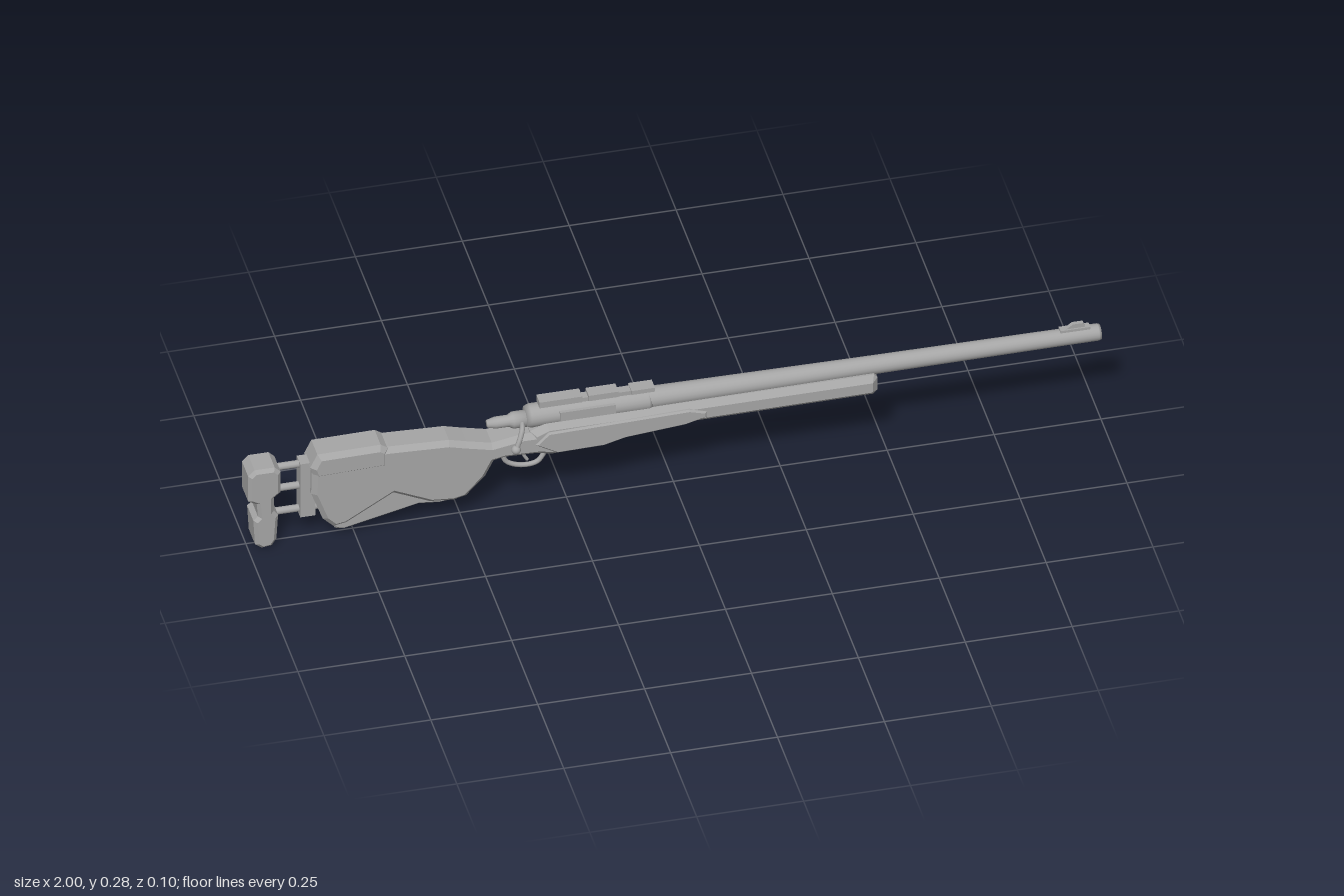
import * as THREE from 'three';

const ZC = -0.007; // centre plane of the rifle

export function createModel() {
  const model = new THREE.Group();
  model.name = 'rifle';
  const grey = new THREE.MeshStandardMaterial({ color: 0xa6a6a6 });
  grey.name = 'plain grey';

  const add = (name, geometry) => {
    const mesh = new THREE.Mesh(geometry, grey);
    mesh.name = name;
    model.add(mesh);
    return mesh;
  };
  // side outline in x and y, extruded across z with chamfered edges
  const slab = (name, points, width, bevel, z = ZC) => {
    const shape = new THREE.Shape(points.map(([x, y]) => new THREE.Vector2(x, y)));
    const g = new THREE.ExtrudeGeometry(shape, {
      depth: width - 2 * bevel, bevelEnabled: bevel > 0, bevelThickness: bevel,
      bevelSize: bevel, bevelOffset: -bevel, bevelSegments: 1,
    });
    g.translate(0, 0, z - width / 2 + bevel);
    return add(name, g);
  };
  const box = (name, x0, x1, y0, y1, depth, z = ZC) => {
    const m = add(name, new THREE.BoxGeometry(x1 - x0, y1 - y0, depth));
    m.position.set((x0 + x1) / 2, (y0 + y1) / 2, z);
    return m;
  };
  // turned part along x, from [x, radius] points
  const turned = (name, points, y, z = ZC, sides = 20) => {
    const g = new THREE.LatheGeometry(points.map(([x, r]) => new THREE.Vector2(r, x)), sides);
    g.rotateZ(-Math.PI / 2);
    g.translate(0, y, z);
    return add(name, g);
  };
  const tube = (name, points, radius) => add(name, new THREE.TubeGeometry(
    new THREE.CatmullRomCurve3(points.map(p => new THREE.Vector3(...p))), 24, radius, 8));

  // butt pad with its notched back, and the adjusting rods
  slab('buttPad', [[-0.985, 0.222], [-0.938, 0.222], [-0.924, 0.208], [-0.924, 0.15], [-0.94, 0.137],
    [-0.94, 0.1], [-0.93, 0.086], [-0.934, 0.02], [-0.945, 0.003], [-0.968, 0], [-0.984, 0.012],
    [-0.988, 0.08], [-0.977, 0.09], [-0.98, 0.125], [-1, 0.136], [-1, 0.207]], 0.076, 0.008);
  for (const y of [0.2, 0.14, 0.075])
    turned('buttRod', [[-0.95, 0], [-0.95, 0.009], [-0.82, 0.009], [-0.82, 0]], y, ZC, 10);
  box('rodBracket', -0.875, -0.84, 0.06, 0.21, 0.035);

  // shoulder stock: full-width upper body and narrower lower keel
  slab('stockBody', [[-0.85, 0.215], [-0.835, 0.232], [-0.67, 0.232], [-0.53, 0.226], [-0.49, 0.215],
    [-0.43, 0.2], [-0.36, 0.212], [-0.3, 0.212], [-0.3, 0.152], [-0.4, 0.155], [-0.425, 0.15],
    [-0.445, 0.11], [-0.49, 0.062], [-0.52, 0.055], [-0.575, 0.06], [-0.66, 0.1], [-0.77, 0.035],
    [-0.8, 0.03], [-0.825, 0.055], [-0.852, 0.13]], 0.078, 0.012);
  slab('stockKeel', [[-0.82, 0.06], [-0.795, 0.02], [-0.775, 0.015], [-0.6, 0.055], [-0.55, 0.05],
    [-0.5, 0.056], [-0.5, 0.12], [-0.66, 0.15], [-0.8, 0.12]], 0.056, 0.006);
  slab('cheekPiece', [[-0.855, 0.205], [-0.838, 0.24], [-0.69, 0.242], [-0.672, 0.23],
    [-0.672, 0.18], [-0.845, 0.175]], 0.082, 0.012);

  // fore-end, magazine belly and receiver side panels
  slab('foreEnd', [[-0.34, 0.215], [-0.3, 0.232], [0.465, 0.234], [0.473, 0.225], [0.473, 0.19],
    [0.462, 0.18], [0, 0.177], [-0.13, 0.162], [-0.17, 0.147], [-0.29, 0.143], [-0.34, 0.155]], 0.078, 0.014);
  slab('magazineBelly', [[-0.3, 0.18], [-0.12, 0.18], [-0.13, 0.16], [-0.17, 0.143], [-0.28, 0.139],
    [-0.3, 0.148]], 0.05, 0.006);
  for (const side of [-1, 1])
    slab('receiverPanel', [[-0.33, 0.185], [-0.3, 0.215], [0.03, 0.222], [0.07, 0.21], [0.07, 0.195],
      [0.02, 0.182], [-0.12, 0.17], [-0.17, 0.157], [-0.28, 0.155]], 0.014, 0.004, ZC + side * 0.037);
  turned('slingStud', [[0.34, 0], [0.34, 0.008], [0.37, 0.008], [0.37, 0]], 0.173, ZC, 10);

  // receiver and hollow-ended tapered barrel
  turned('receiver', [[-0.345, 0], [-0.345, 0.024], [-0.335, 0.028], [-0.06, 0.028], [-0.05, 0.025],
    [-0.05, 0]], 0.241);
  turned('barrel', [[-0.06, 0.026], [0.05, 0.025], [0.45, 0.022], [0.9, 0.02], [0.994, 0.02], [1, 0.018],
    [1, 0.01], [0.96, 0.01], [0.96, 0]], 0.243);

  // bolt, shroud and handle on the right-hand side
  turned('boltShroud', [[-0.435, 0], [-0.435, 0.009], [-0.415, 0.014], [-0.385, 0.014], [-0.375, 0.02],
    [-0.34, 0.02], [-0.34, 0]], 0.235, ZC, 16);
  tube('boltHandle', [[-0.355, 0.236, 0.005], [-0.36, 0.23, 0.027], [-0.368, 0.212, 0.038], [-0.375, 0.195, 0.042]], 0.006);
  const knob = add('boltKnob', new THREE.SphereGeometry(0.011, 14, 10));
  knob.position.set(-0.378, 0.187, 0.042);
  box('ejectionPort', -0.27, -0.14, 0.234, 0.258, 0.008, 0.019);

  // sight rail with its two raised clamps
  box('rail', -0.31, -0.05, 0.262, 0.277, 0.022);
  for (const [a, b, top] of [[-0.315, -0.215, 0.285], [-0.2, -0.13, 0.284], [-0.1, -0.045, 0.28]])
    box('railClamp', a, b, 0.269, top, 0.032);
  box('railSideClamp', -0.29, -0.24, 0.25, 0.27, 0.022, -0.026);

  // front sight
  box('frontSightBase', 0.905, 0.975, 0.256, 0.267, 0.018);
  slab('frontSightBlade', [[0.915, 0.264], [0.965, 0.264], [0.96, 0.278], [0.935, 0.278]], 0.01, 0);

  // trigger and guard
  tube('triggerGuard', [[-0.4, 0.156, ZC], [-0.39, 0.122, ZC], [-0.355, 0.105, ZC], [-0.318, 0.108, ZC],
    [-0.302, 0.128, ZC], [-0.295, 0.152, ZC]], 0.006);
  tube('trigger', [[-0.345, 0.158, ZC], [-0.35, 0.138, ZC], [-0.34, 0.117, ZC]], 0.004);

  return model;
}
